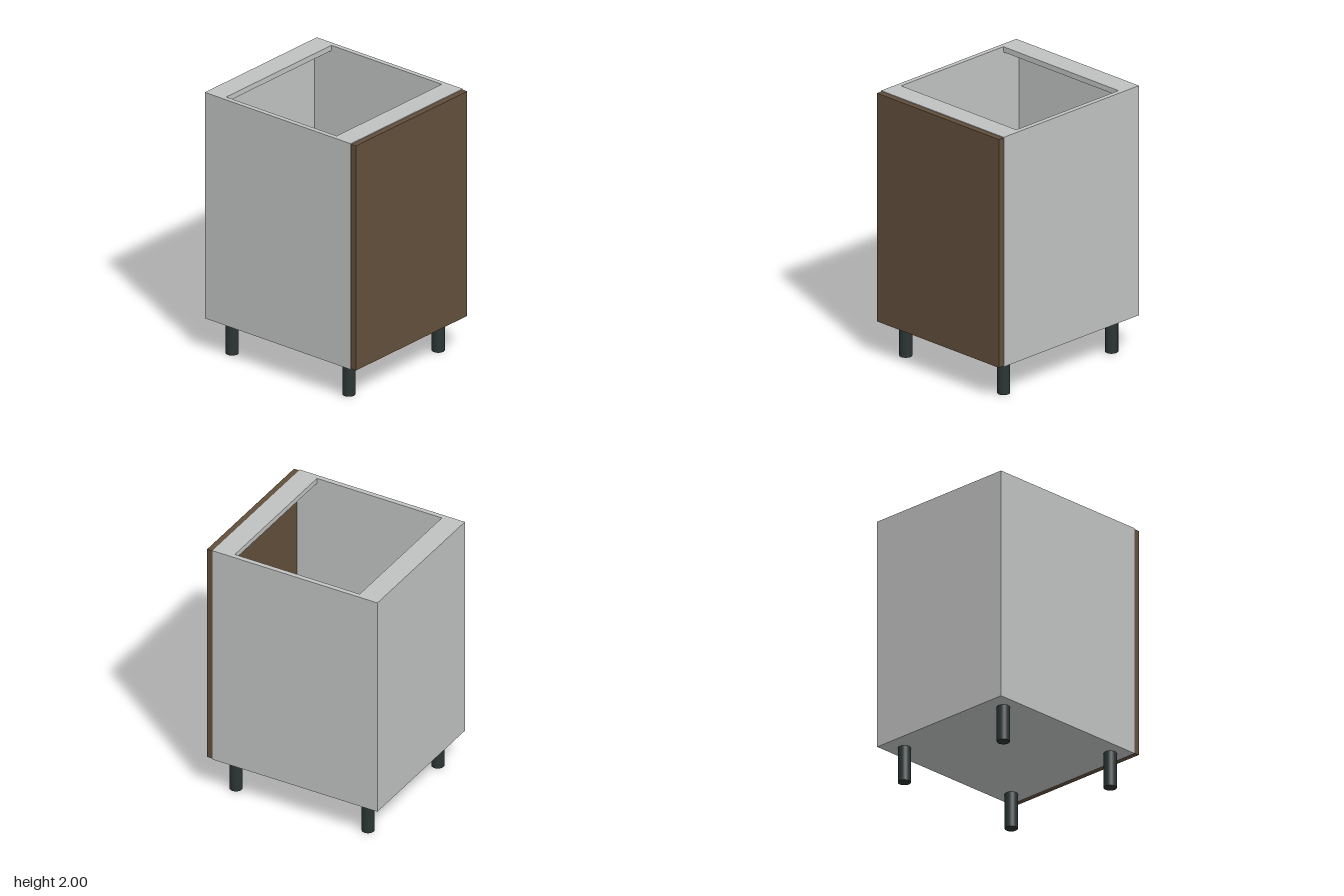
import * as THREE from 'three';

const WIDTH = 1.21, SIDE = 0.037, BASE = 0.265, TOP = 2;
const BACK = -0.69, FRONT = 0.645;

export function createModel() {
  const model = new THREE.Group();
  model.name = 'baseCabinet';

  const grey = new THREE.MeshStandardMaterial({ color: 0xc0c2c1 });
  grey.name = 'light grey board';
  const brown = new THREE.MeshStandardMaterial({ color: 0x624f3b });
  brown.name = 'brown wood';
  const dark = new THREE.MeshStandardMaterial({ color: 0x2b3534 });
  dark.name = 'dark leg plastic';

  // Box panel given by its extents on each axis
  function panel(name, material, [x0, x1], [y0, y1], [z0, z1]) {
    const mesh = new THREE.Mesh(new THREE.BoxGeometry(x1 - x0, y1 - y0, z1 - z0), material);
    mesh.position.set((x0 + x1) / 2, (y0 + y1) / 2, (z0 + z1) / 2);
    mesh.name = name;
    model.add(mesh);
  }

  const half = WIDTH / 2, inner = half - SIDE;
  const inside = [-inner, inner];

  // Carcass: sides, floor, thin back
  panel('leftSide', grey, [inner, half], [BASE, TOP], [BACK, FRONT]);
  panel('rightSide', grey, [-half, -inner], [BASE, TOP], [BACK, FRONT]);
  panel('bottomPanel', grey, inside, [BASE, BASE + 0.04], [BACK + 0.01, FRONT]);
  panel('backPanel', grey, inside, [BASE, TOP - 0.04], [BACK, BACK + 0.01]);

  // Top rails, leaving the middle open
  panel('backRail', grey, inside, [TOP - 0.04, TOP], [BACK, -0.525]);
  panel('frontRail', grey, inside, [TOP - 0.04, TOP], [0.485, FRONT]);

  // Loose shelf with a small gap at each side
  panel('shelf', grey, [-inner + 0.005, inner - 0.005], [1.11, 1.15], [BACK + 0.01, 0.6]);

  // Door covering the front
  panel('door', brown, [-0.601, 0.601], [BASE + 0.005, TOP - 0.005], [FRONT, 0.69]);

  // Four round legs
  const legGeometry = new THREE.CylinderGeometry(0.046, 0.046, BASE, 32);
  for (const x of [-0.483, 0.483]) {
    for (const z of [-0.543, 0.525]) {
      const leg = new THREE.Mesh(legGeometry, dark);
      leg.position.set(x, BASE / 2, z);
      leg.name = (z > 0 ? 'front' : 'back') + (x > 0 ? 'Left' : 'Right') + 'Leg';
      model.add(leg);
    }
  }

  return model;
}
